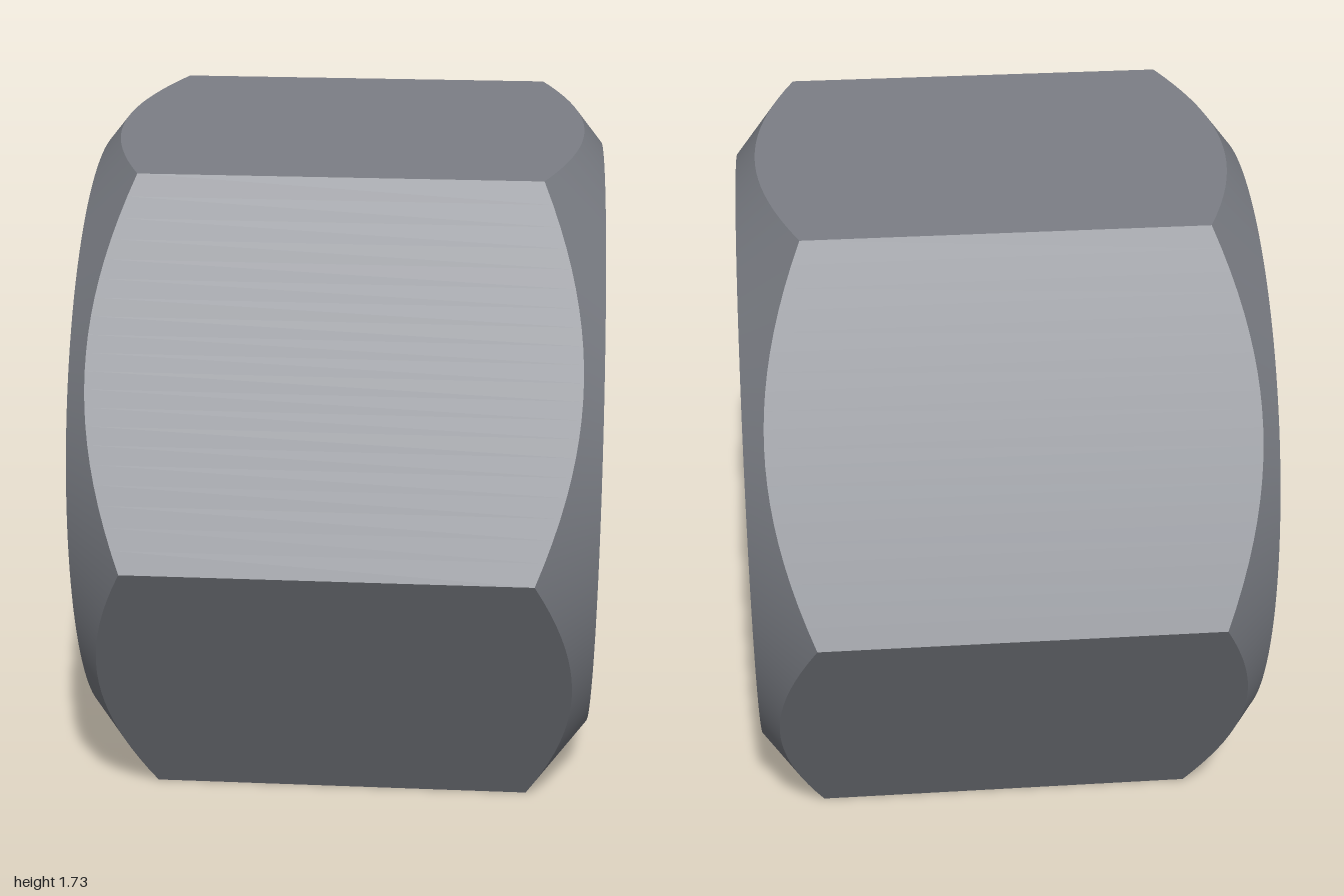
import * as THREE from 'three';
import { toCreasedNormals } from 'three/addons/utils/BufferGeometryUtils.js';

const APOTHEM = Math.sqrt(3) / 2; // corner radius is 1
const HALF = 0.665;               // half length along x
const FACE_R = 0.8;               // radius of the flat end face
const MOUTH_R = 0.56;             // radius of the bore at the end faces
const MINOR_R = 0.515;            // radius of the thread crests
const PITCH = 0.18;

// Surface swept round the x axis; point(i, angle) returns [x, radius]
function sweep(rows, cols, point, crease) {
  const pos = [], index = [];
  for (let i = 0; i <= rows; i++) {
    for (let j = 0; j < cols; j++) {
      const a = (j / cols) * Math.PI * 2;
      const [x, r] = point(i, a);
      pos.push(x, APOTHEM + r * Math.sin(a), r * Math.cos(a));
    }
  }
  for (let i = 0; i < rows; i++) {
    for (let j = 0; j < cols; j++) {
      const k = (j + 1) % cols;
      const a = i * cols + j, b = a + cols, c = i * cols + k, d = c + cols;
      index.push(a, b, c, b, d, c);
    }
  }
  const g = new THREE.BufferGeometry();
  g.setAttribute('position', new THREE.Float32BufferAttribute(pos, 3));
  g.setIndex(index);
  return toCreasedNormals(g, crease);
}

// Hexagonal outline with corners at +z and -z
function hexRadius(a) {
  const side = Math.PI / 3;
  return APOTHEM / Math.cos((a % side) - side / 2);
}

// End face, conical chamfer, hexagonal sides, and the same again
function bodyPoint(i, a) {
  const R = hexRadius(a);
  const xc = HALF - 0.8 * (R - FACE_R);
  return [
    [-HALF, MOUTH_R], [-HALF, FACE_R], [-xc, R],
    [xc, R], [HALF, FACE_R], [HALF, MOUTH_R],
  ][i];
}

// Helical rounded grooves, blended into a countersink at each end
const THREAD_ROWS = 180;
function threadPoint(i, a) {
  const x = HALF - (2 * HALF * i) / THREAD_ROWS;
  const turn = x / PITCH + a / (Math.PI * 2);
  const t = turn - Math.floor(turn);
  const groove = t < 0.75 ? Math.sin((t / 0.75) * Math.PI) : 0;
  const depth = HALF - Math.abs(x);
  const fade = Math.min(1, depth / 0.05);
  const threaded = MINOR_R + 0.06 * groove;
  const mouth = MOUTH_R - 0.9 * depth;
  return [x, Math.max(mouth, MOUTH_R + (threaded - MOUTH_R) * fade)];
}

export function createModel() {
  const nut = new THREE.Group();
  nut.name = 'hexNut';

  const body = new THREE.Mesh(
    sweep(5, 120, bodyPoint, 0.4),
    new THREE.MeshStandardMaterial({ color: 0x7c7f86 })
  );
  body.name = 'hexBody';

  const thread = new THREE.Mesh(
    sweep(THREAD_ROWS, 96, threadPoint, 0.9),
    new THREE.MeshStandardMaterial({ color: 0xcccccc })
  );
  thread.name = 'innerThread';

  nut.add(body, thread);
  return nut;
}
